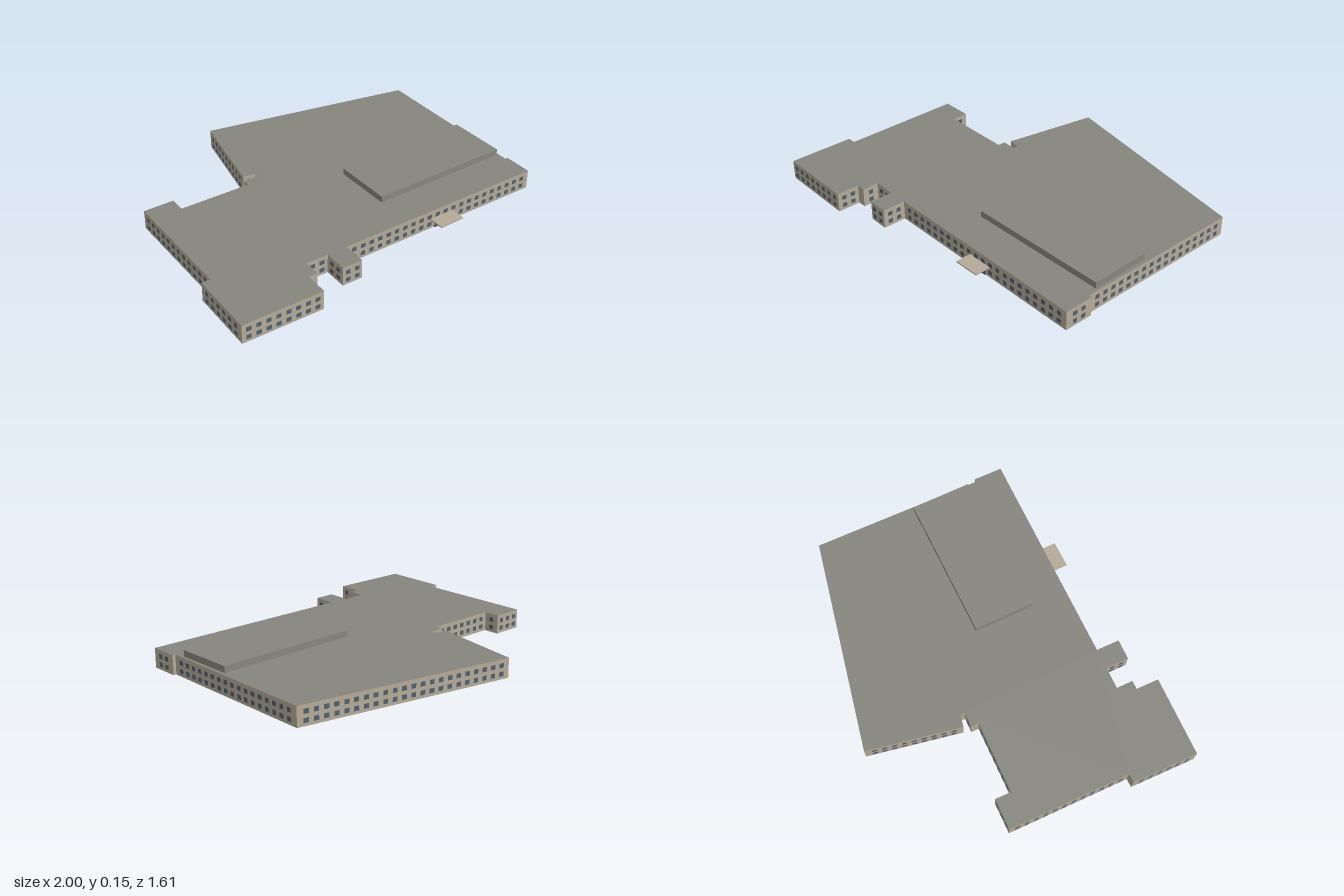
import * as THREE from 'three';
import { mergeGeometries } from 'three/addons/utils/BufferGeometryUtils.js';

const HEIGHT = 0.11;
const PITCH = 0.0547; // window spacing
// Footprint corners [x, z], clockwise seen from above
const FOOTPRINT = [
  [-0.22, -0.803], [1, -0.55], [0.983, 0.435], [1, 0.435], [0.998, 0.6],
  [-0.248, 0.582], [-0.25, 0.715], [-0.365, 0.712], [-0.363, 0.58], [-0.49, 0.577],
  [-0.491, 0.672], [-0.541, 0.671], [-0.544, 0.802], [-1, 0.787], [-0.99, 0.41],
  [-0.941, 0.409], [-0.93, -0.29], [-0.755, -0.287], [-0.757, -0.195], [-0.344, -0.186],
  [-0.343, -0.23], [-0.262, -0.228], [-0.257, -0.253], [-0.327, -0.268],
];

function material(name, color, side = THREE.FrontSide) {
  const m = new THREE.MeshStandardMaterial({ color, side });
  m.name = name;
  return m;
}

export function createModel() {
  const model = new THREE.Group();
  model.name = 'building';
  const wallMat = material('beige wall', 0xb5aa96, THREE.DoubleSide);
  const roofMat = material('grey roof', 0x86857d, THREE.DoubleSide);
  const glassMat = material('blue glass', 0x4d6072);

  const add = (name, geometry, mat) => {
    const mesh = new THREE.Mesh(geometry, mat);
    mesh.name = name;
    model.add(mesh);
    return mesh;
  };
  const box = (name, mat, x0, x1, y0, y1, z0, z1) =>
    add(name, new THREE.BoxGeometry(x1 - x0, y1 - y0, z1 - z0), mat)
      .position.set((x0 + x1) / 2, (y0 + y1) / 2, (z0 + z1) / 2);

  // Outer walls, each with two centred rows of windows
  const walls = [];
  const windows = [];
  FOOTPRINT.forEach(([x0, z0], i) => {
    const [x1, z1] = FOOTPRINT[(i + 1) % FOOTPRINT.length];
    const length = Math.hypot(x1 - x0, z1 - z0);
    const dx = (x1 - x0) / length;
    const dz = (z1 - z0) / length;
    const angle = Math.atan2(dz, -dx); // outward normal is (dz, -dx)
    const panel = (w, h, along, y, out) =>
      new THREE.PlaneGeometry(w, h).rotateY(angle).translate(
        (x0 + x1) / 2 + dx * along + dz * out, y, (z0 + z1) / 2 + dz * along - dx * out);

    walls.push(panel(length, HEIGHT, 0, HEIGHT / 2, 0));
    const count = Math.max(0, Math.floor((length - 0.06) / PITCH) + 1);
    for (let k = 0; k < count; k++) {
      for (const y of [0.03, 0.076]) {
        windows.push(panel(0.028, 0.025, (k - (count - 1) / 2) * PITCH, y, 0.002));
      }
    }
  });
  add('walls', mergeGeometries(walls), wallMat);
  add('windows', mergeGeometries(windows), glassMat);

  // Flat roof sheet
  const outline = new THREE.Shape(FOOTPRINT.map(([x, z]) => new THREE.Vector2(x, -z)));
  add('roof', new THREE.ShapeGeometry(outline).rotateX(-Math.PI / 2).translate(0, HEIGHT, 0), roofMat);

  // Raised roof block
  box('roofBlock', roofMat, 0.14, 0.97, HEIGHT + 0.001, 0.147, 0.03, 0.375);

  // Entrance door and canopy
  box('entranceDoor', glassMat, 0.33, 0.42, 0, 0.054, 0.589, 0.597);
  box('entranceCanopy', wallMat, 0.3, 0.45, 0.055, 0.062, 0.589, 0.68);

  return model;
}
